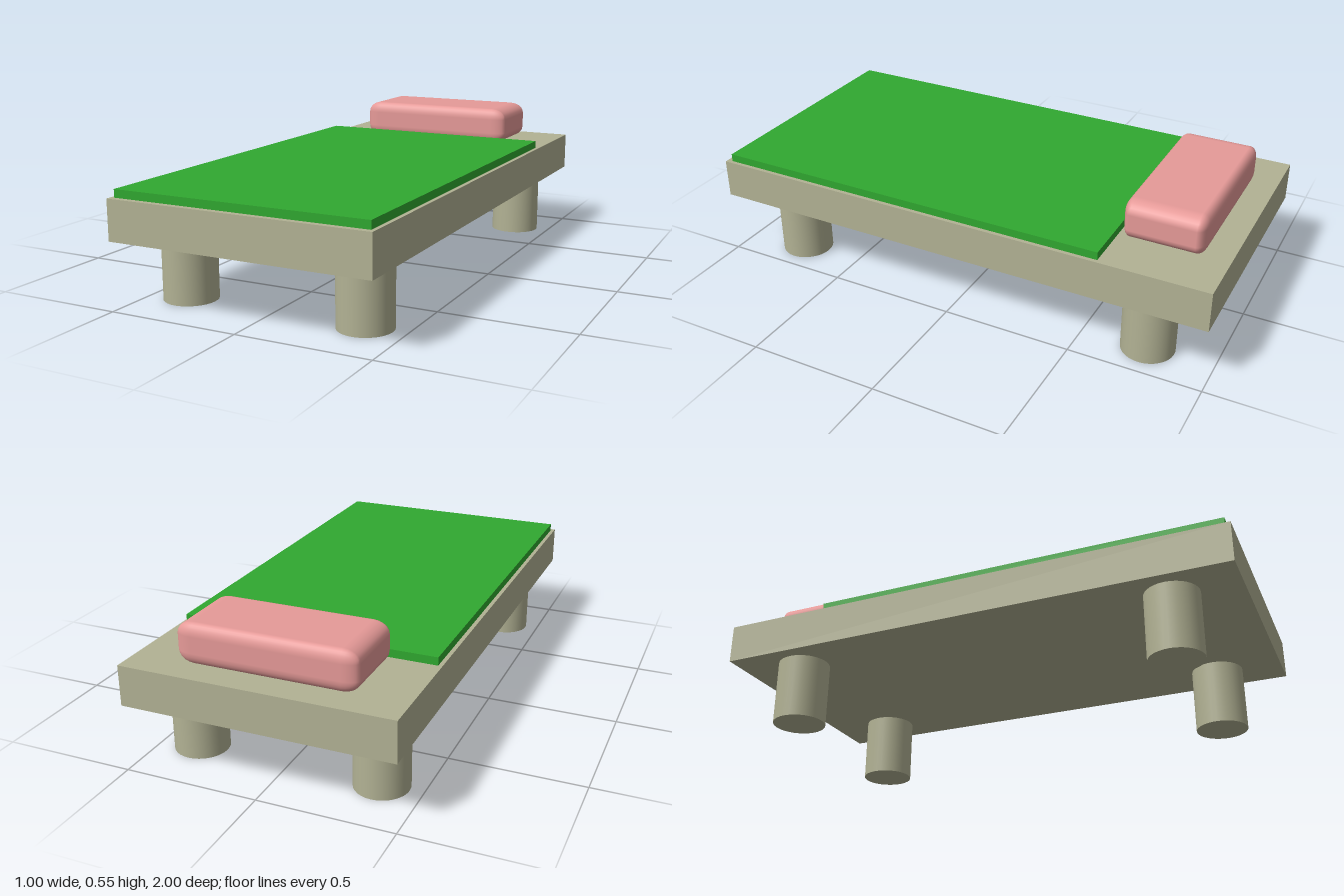
import * as THREE from 'three';
import { RoundedBoxGeometry } from 'three/addons/geometries/RoundedBoxGeometry.js';

function material(name, color) {
  const m = new THREE.MeshStandardMaterial({ color });
  m.name = name;
  return m;
}

export function createModel() {
  const group = new THREE.Group();
  group.name = 'bed';
  const frameMat = material('beige', 0xb2b294);
  const blanketMat = material('green', 0x30a830);
  const pillowMat = material('pink', 0xe69a98);

  const add = (name, geometry, mat, x, y, z) => {
    const mesh = new THREE.Mesh(geometry, mat);
    mesh.name = name;
    mesh.position.set(x, y, z);
    group.add(mesh);
  };

  // Bed base on four round legs
  add('base', new THREE.BoxGeometry(1, 0.15, 2), frameMat, 0, 0.325, 0);
  const legGeometry = new THREE.CylinderGeometry(0.1, 0.1, 0.25, 32);
  for (const [end, z] of [['front', 0.75], ['back', -0.75]]) {
    for (const [side, x] of [['Left', 0.35], ['Right', -0.35]]) {
      add(`${end}${side}Leg`, legGeometry, frameMat, x, 0.125, z);
    }
  }

  // Thin blanket, leaving the head end bare
  add('blanket', new THREE.BoxGeometry(0.97, 0.03, 1.57), blanketMat, 0, 0.415, 0.193);

  // Pillow: rounded box, stretched so the ends taper more than the long sides
  const pillow = new RoundedBoxGeometry(0.55, 0.1667, 0.5, 3, 0.05);
  pillow.scale(1.2, 0.9, 0.6);
  add('pillow', pillow, pillowMat, 0, 0.475, -0.76);

  return group;
}
